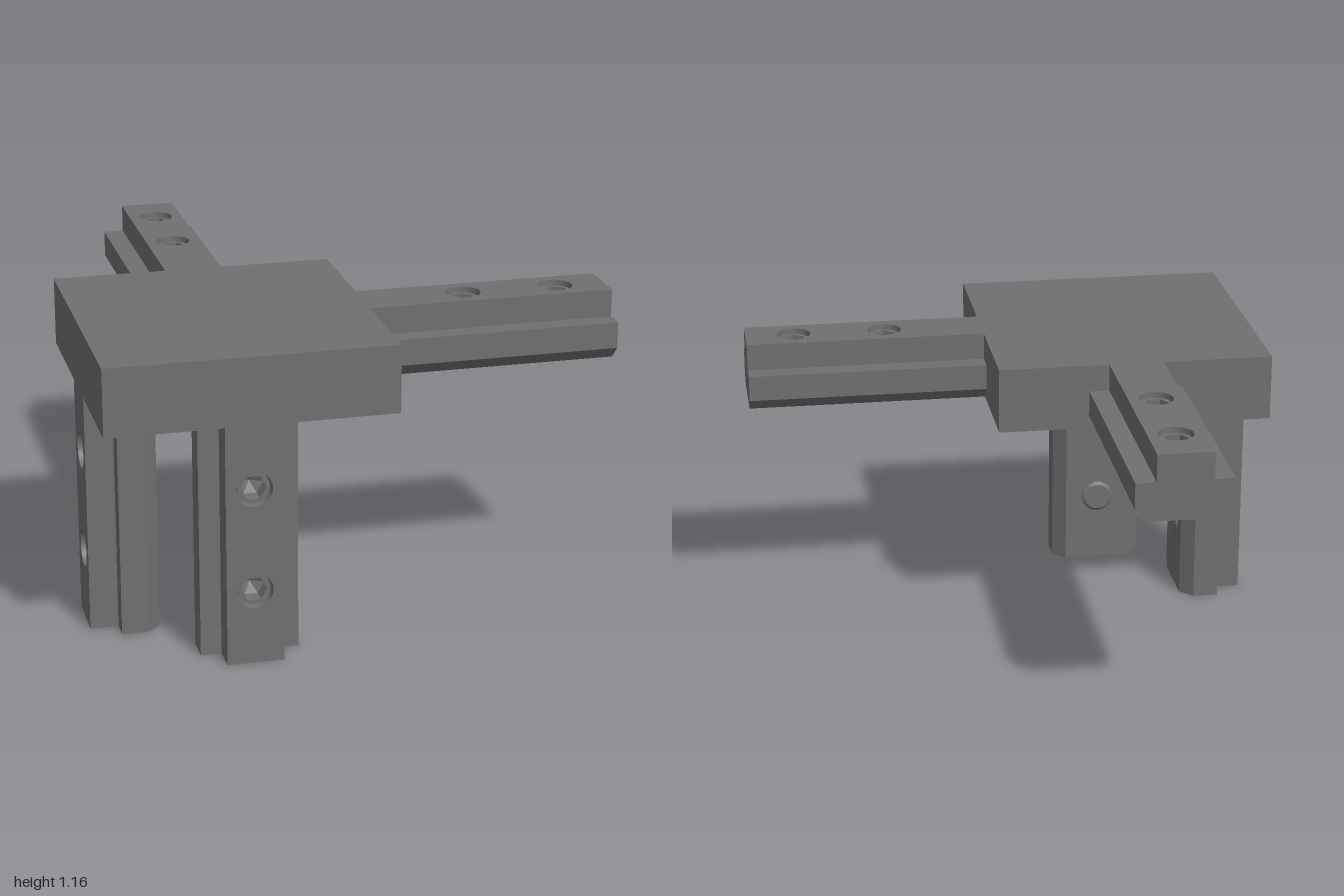
import * as THREE from 'three';

const NECK = 0.105;   // depth of the narrow outer rib
const DEPTH = 0.255;  // full depth of an arm
const MID = 0.4675;   // offset of the arm centre lines
const EDGE = 0.065;   // inner edge of the plate

function rectShape(x0, y0, x1, y1) {
  return new THREE.Shape([[x0, y0], [x1, y0], [x1, y1], [x0, y1]].map(p => new THREE.Vector2(...p)));
}

function rectHole(x0, y0, x1, y1) {
  return new THREE.Path(rectShape(x0, y0, x1, y1).getPoints().reverse());
}

// Extrude a plan shape (x, -z) upwards from height y
function slab(shape, y, height) {
  const g = new THREE.ExtrudeGeometry(shape, { depth: height, bevelEnabled: false, curveSegments: 32 });
  return g.rotateX(-Math.PI / 2).translate(0, y, 0);
}

function facetedLathe(points, segments) {
  const g = new THREE.LatheGeometry(points.map(p => new THREE.Vector2(...p)), segments).toNonIndexed();
  g.computeVertexNormals();
  return g;
}

export function createModel() {
  const model = new THREE.Group();
  model.name = 'cornerBracket';
  const metal = new THREE.MeshStandardMaterial({ color: 0x707070 });
  metal.name = 'dark grey metal';

  function add(parent, geometry, name) {
    const mesh = new THREE.Mesh(geometry, metal);
    mesh.name = name;
    parent.add(mesh);
    return mesh;
  }

  // Grub screw: hex-socket head, socket floor and tip poking out below
  function makeScrew() {
    const screw = new THREE.Group();
    screw.name = 'grubScrew';
    const ring = new THREE.Shape().absarc(0, 0, 0.06, 0, Math.PI * 2);
    const hex = [];
    for (let i = 0; i < 6; i++) {
      const a = Math.PI / 2 - i * Math.PI / 3;
      hex.push(new THREE.Vector2(Math.cos(a) * 0.048, Math.sin(a) * 0.048));
    }
    ring.holes.push(new THREE.Path(hex));
    add(screw, slab(ring, -NECK, 0.085), 'screwHead');
    add(screw, facetedLathe([[0.048, -0.075], [0, -0.1]], 6), 'socketFloor');
    add(screw, facetedLathe([[0, -0.268], [0.053, -0.268], [0.065, -0.26], [0.065, -0.25]], 32), 'screwTip');
    return screw;
  }

  // Slot-nut arm: runs along local +x, outer face at local y = 0
  function makeArm(name, length, screws, embed) {
    const arm = new THREE.Group();
    arm.name = name;

    const neck = rectShape(0, -0.105, length, 0.105);
    for (const x of screws) neck.holes.push(new THREE.Path().absarc(x, 0, 0.066, 0, Math.PI * 2, true));
    add(arm, slab(neck, -NECK, NECK), 'neck');

    const section = new THREE.Shape([
      [-0.182, -NECK], [-0.182, -0.205], [-0.132, -DEPTH],
      [0.132, -DEPTH], [0.182, -0.205], [0.182, -NECK],
    ].map(p => new THREE.Vector2(...p)));
    const body = new THREE.ExtrudeGeometry(section, { depth: length + embed, bevelEnabled: false });
    body.rotateY(Math.PI / 2).translate(-embed, 0, 0);
    add(arm, body, 'body');

    for (const x of screws) {
      const screw = makeScrew();
      screw.position.x = x;
      arm.add(screw);
    }
    model.add(arm);
    return arm;
  }

  // Place an arm by its running direction and outward direction
  function place(arm, position, along, outward) {
    const X = new THREE.Vector3(...along), Y = new THREE.Vector3(...outward);
    const basis = new THREE.Matrix4().makeBasis(X, Y, X.clone().cross(Y));
    arm.quaternion.setFromRotationMatrix(basis);
    arm.position.set(...position);
  }

  // Corner plate with a pocket underneath
  const plate = new THREE.Group();
  plate.name = 'cornerPlate';
  model.add(plate);
  const rim = rectShape(-1, -1, EDGE, EDGE);
  rim.holes.push(rectHole(-0.86, -0.86, EDGE - 0.14, EDGE - 0.14));
  add(plate, slab(rim, 0.91, 0.15), 'plateRim');
  add(plate, slab(rectShape(-1, -1, EDGE, EDGE), 1.06, 0.105), 'plateTop');

  // Two horizontal arms
  const armScrews = [0.385, 0.745];
  place(makeArm('leftArm', 0.935, armScrews, 0), [EDGE, 1.165, MID], [1, 0, 0], [0, 1, 0]);
  place(makeArm('backArm', 0.935, armScrews, 0), [-MID, 1.165, -EDGE], [0, 0, -1], [0, 1, 0]);

  // Two legs, reaching up into the pocket
  const legScrews = [0.24, 0.63];
  place(makeArm('frontLeg', 0.91, legScrews, 0.15), [-MID, 0.91, 1], [0, -1, 0], [0, 0, 1]);
  place(makeArm('sideLeg', 0.91, legScrews, 0.15), [-1, 0.91, MID], [0, -1, 0], [-1, 0, 0]);

  return model;
}
